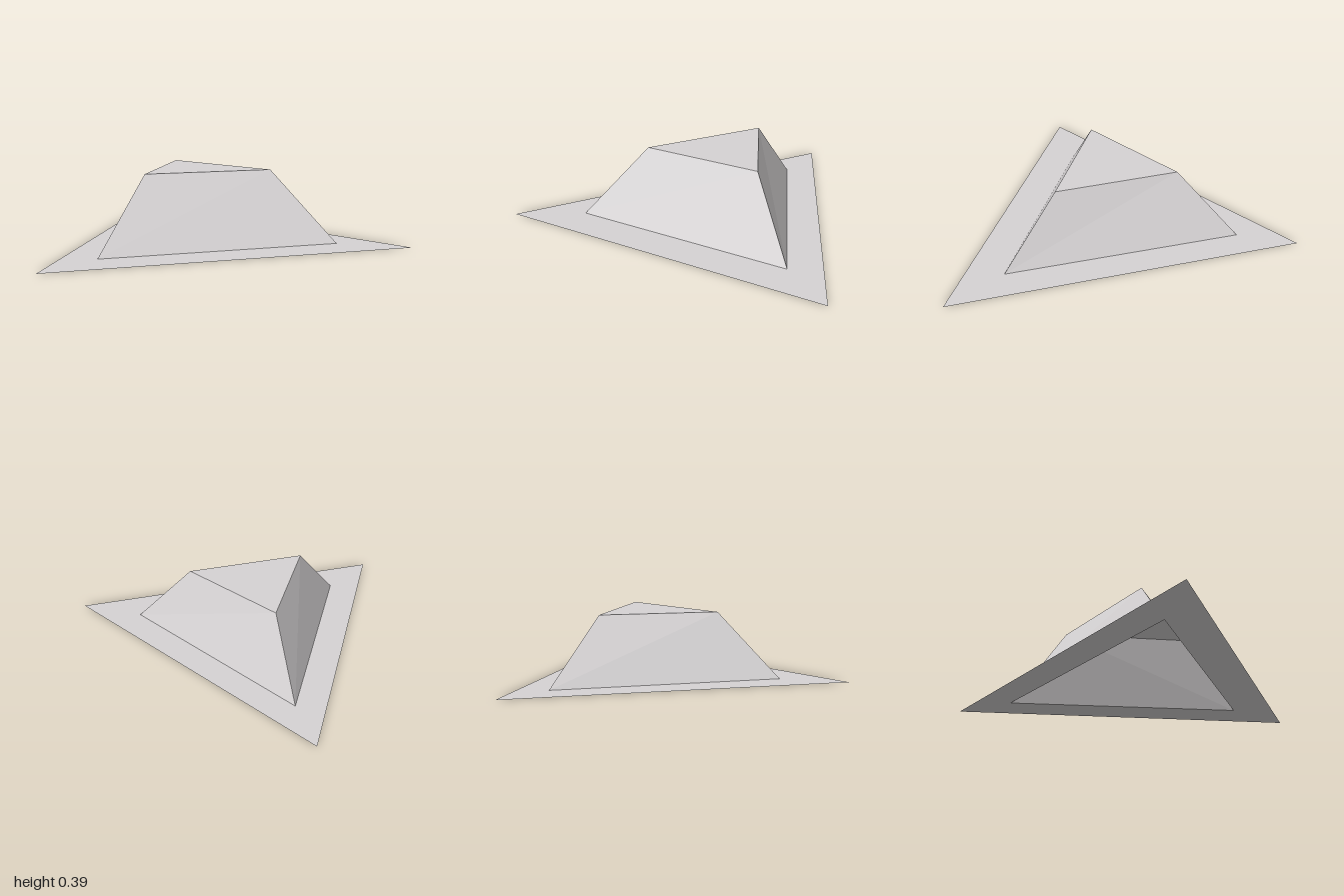
import * as THREE from 'three';

// Triangular ring: back corner, then the two front corners (counterclockwise from above)
const ring = (halfWidth, back, front, y) => [
  [0, y, back], [-halfWidth, y, front], [halfWidth, y, front],
];

function facesMesh(name, triangles, material) {
  const geometry = new THREE.BufferGeometry();
  geometry.setAttribute('position', new THREE.Float32BufferAttribute(triangles.flat(2), 3));
  geometry.computeVertexNormals();
  const mesh = new THREE.Mesh(geometry, material);
  mesh.name = name;
  return mesh;
}

// Band of flat faces joining an outer ring to an inner ring
function band(outer, inner) {
  const triangles = [];
  for (let i = 0; i < 3; i++) {
    const j = (i + 1) % 3;
    triangles.push([outer[i], outer[j], inner[j]], [outer[i], inner[j], inner[i]]);
  }
  return triangles;
}

export function createModel() {
  const group = new THREE.Group();
  group.name = 'hollowTriangularFrustum';

  const paleGrey = new THREE.MeshStandardMaterial({ color: 0xd6d3d4, side: THREE.DoubleSide });
  paleGrey.name = 'pale grey';

  const brimEdge = ring(1, -0.9, 0.9, 0);
  const wallFoot = ring(0.665, -0.54, 0.68, 0);
  const wallTop = ring(0.36, -0.17, 0.457, 0.393);

  // Flat brim, open in the middle
  group.add(facesMesh('brim', band(brimEdge, wallFoot), paleGrey));
  // Sloping walls, hollow from below
  group.add(facesMesh('walls', band(wallFoot, wallTop), paleGrey));
  // Flat top
  group.add(facesMesh('topCap', [wallTop], paleGrey));

  return group;
}
